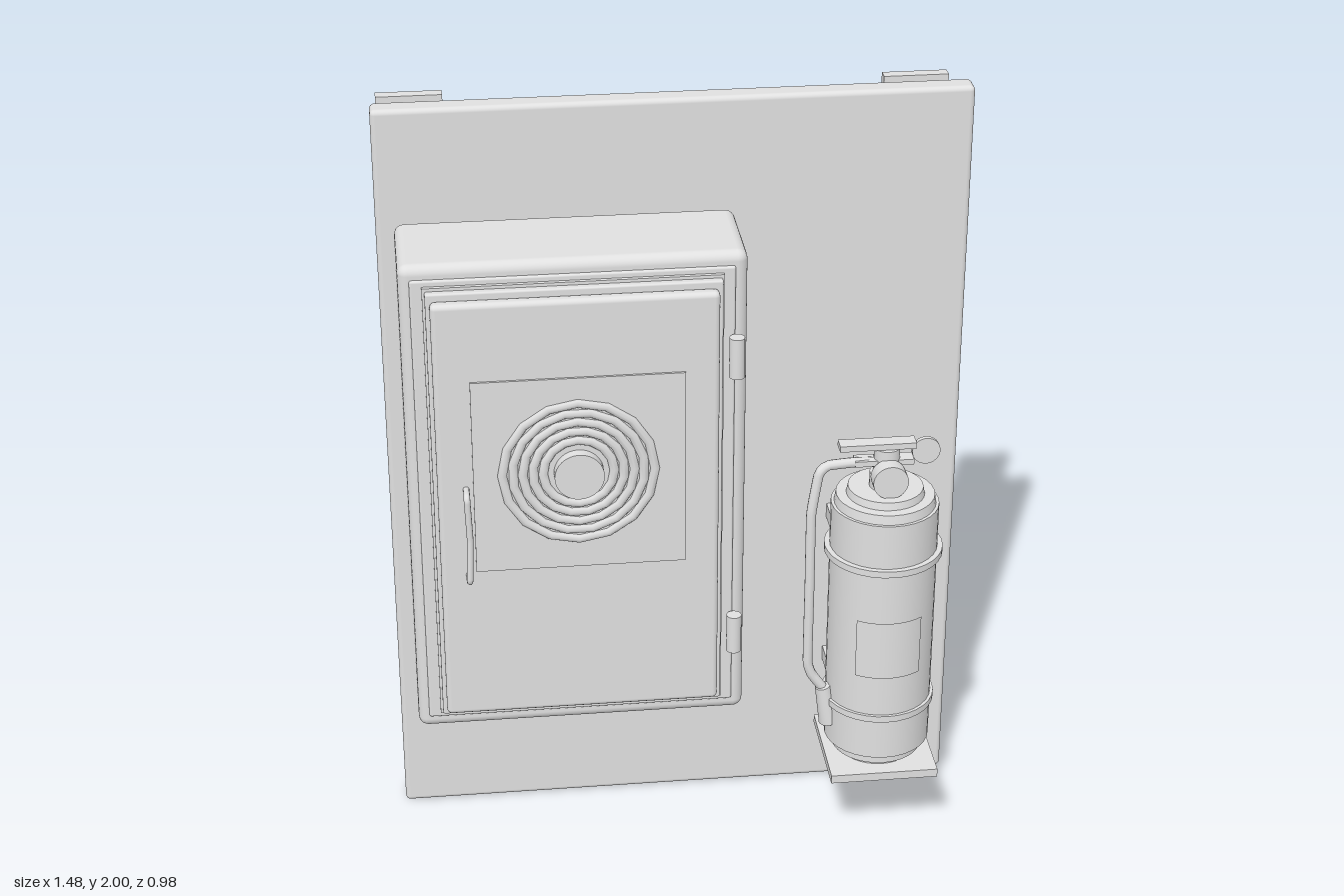
import * as THREE from 'three';
import { RoundedBoxGeometry } from 'three/addons/geometries/RoundedBoxGeometry.js';

export function createModel() {
  const root = new THREE.Group();
  const grey = new THREE.MeshStandardMaterial({ color: 0xe0e0e0 });
  grey.name = 'light grey';

  const add = (name, geometry, parent = root) => {
    const mesh = new THREE.Mesh(geometry, grey);
    mesh.name = name;
    parent.add(mesh);
    return mesh;
  };
  const group = (name, y = 0) => {
    const g = new THREE.Group();
    g.name = name;
    g.position.y = y;
    root.add(g);
    return g;
  };
  // Box given by its limits on each axis, with optional rounded edges
  const box = (name, [x0, x1], [y0, y1], [z0, z1], parent, radius = 0) => {
    const size = [x1 - x0, y1 - y0, z1 - z0];
    const geo = radius ? new RoundedBoxGeometry(...size, 3, radius) : new THREE.BoxGeometry(...size);
    return add(name, geo.translate((x0 + x1) / 2, (y0 + y1) / 2, (z0 + z1) / 2), parent);
  };
  // Upright cylinder between two heights
  const post = (name, r, y0, y1, x, z, parent, rTop = r) =>
    add(name, new THREE.CylinderGeometry(rTop, r, y1 - y0, 32).translate(x, (y0 + y1) / 2, z), parent);
  // Cylinder facing the front
  const disc = (name, r, z0, z1, x, y, parent) =>
    add(name, new THREE.CylinderGeometry(r, r, z1 - z0, 32).rotateX(Math.PI / 2).translate(x, y, (z0 + z1) / 2), parent);
  const tube = (name, points, r, parent) => {
    const curve = new THREE.CatmullRomCurve3(points.map((p) => new THREE.Vector3(...p)), false, 'catmullrom', 0.15);
    return add(name, new THREE.TubeGeometry(curve, 60, r, 10), parent);
  };

  // Back board
  box('backBoard', [-0.738, 0.738], [0, 2], [0.036, 0.099], root, 0.013);

  // Stand-off posts: short pair above, long pair below
  for (const side of [-1, 1]) {
    for (const [label, y, back] of [['upper', 1.857, -0.192], ['lower', 0.132, -0.492]]) {
      const leg = group(label + (side > 0 ? 'Left' : 'Right') + 'Post');
      const x = side * 0.639;
      box('postBar', [x - 0.05, x + 0.05], [y - 0.06, y + 0.06], [back, 0.037], leg);
      box('postFlange', [x - 0.083, x + 0.083], [y - 0.087, y + 0.087], [back + 0.018, back + 0.05], leg);
    }
  }

  // Cabinet with stepped door
  const cabinet = group('cabinet', -0.005);
  box('cabinetBody', [-0.694, 0.143], [0.422, 1.717], [0.098, 0.375], cabinet, 0.025);
  box('cabinetRim', [-0.667, 0.112], [0.458, 1.683], [0.36, 0.382], cabinet, 0.006);
  box('doorSeal', [-0.638, 0.083], [0.475, 1.668], [0.375, 0.392], cabinet);
  box('doorFrame', [-0.632, 0.079], [0.483, 1.66], [0.388, 0.41], cabinet, 0.005);
  box('doorPanel', [-0.622, 0.068], [0.5, 1.643], [0.405, 0.441], cabinet, 0.013);
  box('doorPlate', [-0.535, -0.016], [0.92, 1.44], [0.44, 0.447], cabinet);
  for (const [y0, y1] of [[1.402, 1.508], [0.623, 0.727]]) {
    post('hinge', 0.019, y0, y1, 0.113, 0.407, cabinet);
  }
  tube('doorHandle', [
    [-0.553, 0.91, 0.44], [-0.553, 0.91, 0.475], [-0.553, 0.92, 0.485],
    [-0.549, 1.03, 0.48], [-0.553, 1.14, 0.485], [-0.553, 1.15, 0.475], [-0.553, 1.15, 0.44],
  ], 0.008, cabinet);

  // Coiled hose on the door: faceted rings, each turned a little
  const coil = group('hoseCoil', -0.003);
  [0.187, 0.162, 0.137, 0.112, 0.087].forEach((r, i) => {
    add('coilRing', new THREE.TorusGeometry(r, 0.012, 8, 16).scale(1, 1, 0.7).rotateZ(i * 0.2)
      .translate(-0.278, 1.183, 0.446), coil);
  });
  disc('coilHub', 0.061, 0.44, 0.475, -0.278, 1.183, coil);

  // Extinguisher bottle
  const ext = group('extinguisher', -0.007);
  const X = 0.513, Z = 0.297;
  box('basePlate', [X - 0.141, X + 0.141], [0.212, 0.235], [Z - 0.15, Z + 0.142], ext);
  post('footRing', 0.1, 0.235, 0.252, X, Z, ext);
  post('bottomRim', 0.118, 0.25, 0.281, X, Z, ext);
  post('bottleBody', 0.138, 0.28, 0.975, X, Z, ext);
  post('shoulder', 0.13, 0.975, 1.0, X, Z, ext, 0.126);
  post('collar', 0.1, 1.0, 1.02, X, Z, ext, 0.096);
  for (const [y, r] of [[0.843, 0.152], [0.404, 0.146]]) {
    post('strap', r, y - 0.009, y + 0.009, X, Z, ext);
    box('strapArm', [X - 0.115, X + 0.115], [y - 0.02, y + 0.02], [0.09, 0.24], ext);
  }
  // Curved label on the front of the bottle
  const half = 0.63;
  add('label', new THREE.CylinderGeometry(0.142, 0.142, 0.165, 16, 1, true, -half, half * 2)
    .translate(X, 0.61, Z), ext);

  // Valve, gauge, levers and pin disc
  post('valveNeck', 0.042, 1.02, 1.06, X, Z, ext);
  post('valveBody', 0.033, 1.05, 1.13, X, Z, ext);
  disc('gauge', 0.045, 0.325, 0.367, X, 1.062, ext);
  disc('gaugeStem', 0.025, Z, 0.33, X, 1.062, ext);
  box('topLever', [0.39, 0.585], [1.13, 1.146], [Z - 0.02, Z + 0.02], ext);
  box('carryLever', [0.43, 0.58], [1.085, 1.1], [Z - 0.02, Z + 0.02], ext);
  post('leverPivot', 0.015, 1.09, 1.135, X, Z, ext);
  disc('safetyPinDisc', 0.036, Z - 0.006, Z + 0.006, 0.613, 1.114, ext);

  // Discharge hose and nozzle
  tube('hose', [
    [0.5, 1.088, Z], [0.42, 1.092, Z + 0.005], [0.36, 1.09, Z + 0.01], [0.338, 1.07, Z + 0.015],
    [0.32, 0.96, Z + 0.022], [0.32, 0.75, Z + 0.025], [0.32, 0.52, Z + 0.025],
    [0.332, 0.48, Z + 0.025], [0.36, 0.44, Z + 0.025],
  ], 0.013, ext);
  const nozzle = add('nozzle', new THREE.CylinderGeometry(0.02, 0.027, 0.11, 16), ext);
  nozzle.position.set(0.371, 0.389, Z + 0.027);
  nozzle.rotation.z = 0.18;

  return root;
}
